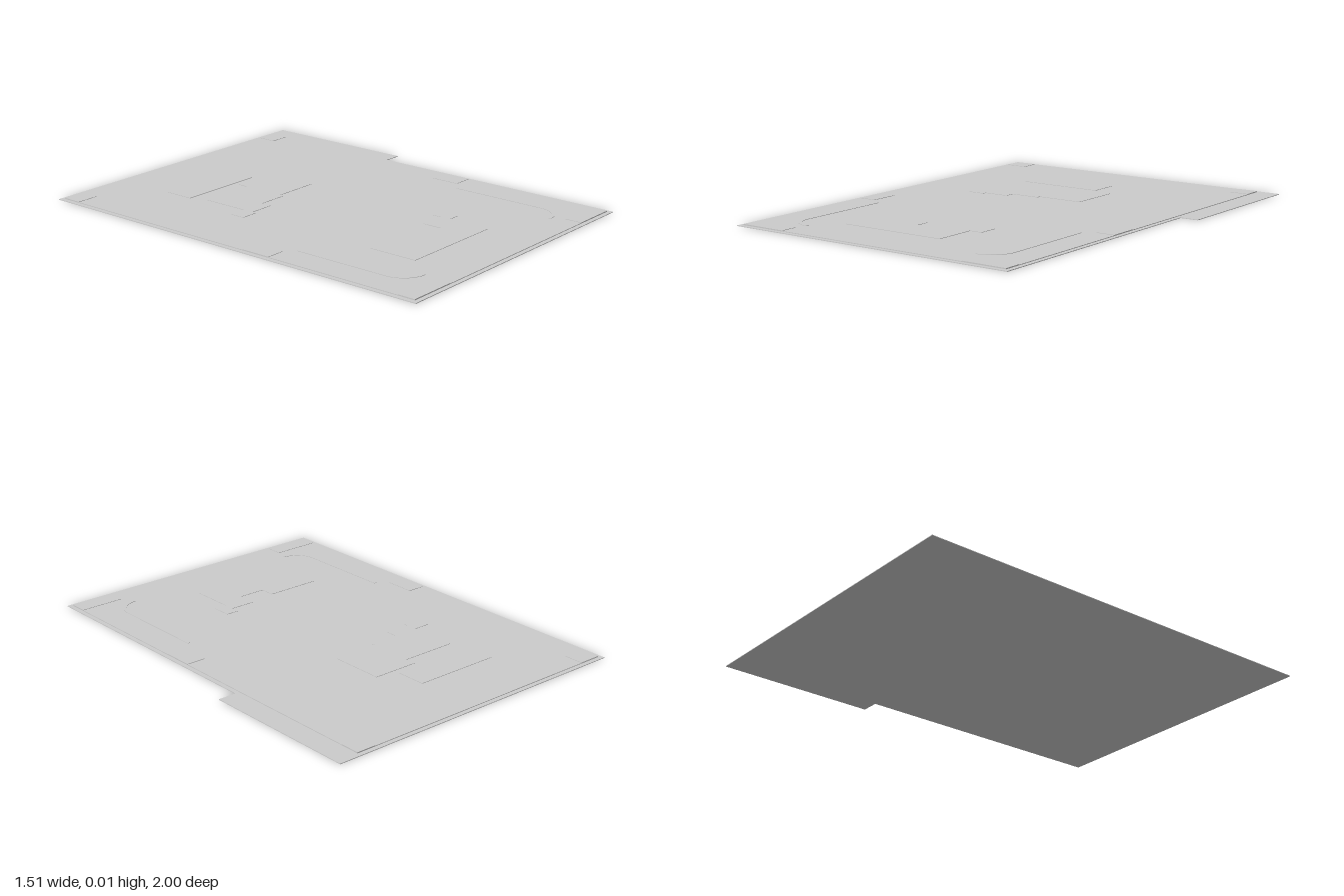
import * as THREE from 'three';

const BASE = 0.003, DECK = 0.006, TOP = 0.008;

export function createModel() {
  const group = new THREE.Group();
  const material = new THREE.MeshStandardMaterial({ color: 0xcccccc, flatShading: true });

  function add(name, geometry) {
    const mesh = new THREE.Mesh(geometry, material);
    mesh.name = name;
    group.add(mesh);
  }

  // Flat slab from an outline of [x, z] points, between two heights
  function slab(name, points, y0, y1) {
    const shape = new THREE.Shape(points.map(([x, z]) => new THREE.Vector2(x, -z)));
    const geometry = new THREE.ExtrudeGeometry(shape, { depth: y1 - y0, bevelEnabled: false });
    geometry.rotateX(-Math.PI / 2).translate(0, y0, 0);
    add(name, geometry);
  }

  function block(name, x0, x1, z0, z1) {
    slab(name, [[x0, z0], [x0, z1], [x1, z1], [x1, z0]], DECK, TOP);
  }

  // Ground plate with the step in its left side
  slab('groundPlate', [[-0.755, -1], [-0.755, 1], [0.67, 1], [0.67, -0.255], [0.755, -0.255], [0.755, -1]], 0, BASE);

  // Slightly smaller raised deck
  slab('deck', [[-0.735, -0.98], [-0.735, 0.98], [0.65, 0.98], [0.65, -0.98]], BASE, DECK);

  // Rooms of the rear building
  [
    [-0.38, 0.03, -0.69, -0.55],
    [-0.35, -0.23, -0.47, -0.2],
    [-0.23, -0.09, -0.47, -0.25],
    [-0.09, 0.13, -0.52, -0.27],
    [-0.43, -0.35, -0.25, -0.18],
  ].forEach((r) => block('rearRoom', ...r));

  // Rooms of the front building
  [
    [-0.39, -0.13, 0.49, 0.72],
    [-0.13, 0.0, 0.56, 0.72],
    [0.0, 0.12, 0.47, 0.72],
    [0.12, 0.18, 0.43, 0.52],
  ].forEach((r) => block('frontRoom', ...r));

  // Corner pads and the pads halfway along the sides
  [
    [-0.735, -0.63, -0.98, -0.89],
    [0.56, 0.65, -0.98, -0.89],
    [-0.735, -0.51, 0.9, 0.98],
    [0.44, 0.65, 0.9, 0.98],
    [-0.735, -0.65, 0.1, 0.24],
    [0.56, 0.65, 0.1, 0.24],
  ].forEach((r) => block('edgePad', ...r));

  // Narrow curbs beside the front building, curving inward at the front
  for (const side of [-1, 1]) {
    const at = (x) => -0.045 + side * x;
    const outer = [], inner = [];
    for (let i = 0; i <= 8; i++) {
      const t = (i / 8) * Math.PI / 2;
      outer.push([at(0.45 + 0.11 * Math.cos(t)), 0.74 + 0.11 * Math.sin(t)]);
      inner.push([at(0.45 + 0.095 * Math.cos(t)), 0.74 + 0.095 * Math.sin(t)]);
    }
    slab('curb', [[at(0.56), 0.28], ...outer, ...inner.reverse(), [at(0.545), 0.28]], DECK, TOP);
  }

  return group;
}
